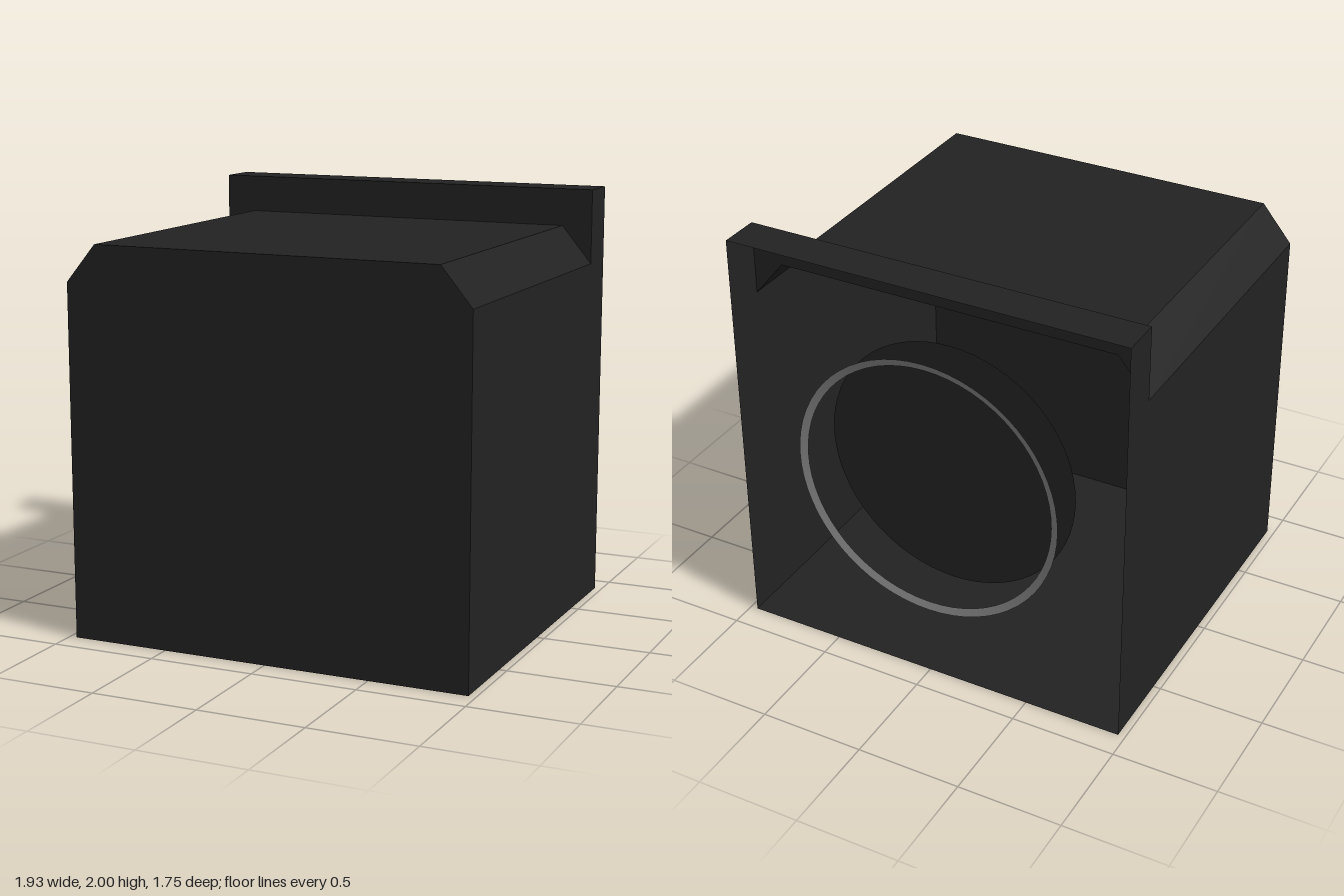
import * as THREE from 'three';

const W = 0.965, BACK = -0.875, STEP = -0.68, FRONT = 0.875;

// Open tube of flat walls: a closed outline (counter-clockwise) carried from z0 to z1.
function walls(outline, z0, z1) {
  const pos = [];
  outline.forEach(([ax, ay], i) => {
    const [bx, by] = outline[(i + 1) % outline.length];
    pos.push(ax, ay, z1, ax, ay, z0, bx, by, z0);
    pos.push(ax, ay, z1, bx, by, z0, bx, by, z1);
  });
  const g = new THREE.BufferGeometry();
  g.setAttribute('position', new THREE.Float32BufferAttribute(pos, 3));
  g.computeVertexNormals();
  return g;
}

// Flat plate facing +z.
function plate(outline, z) {
  const shape = new THREE.Shape(outline.map(([x, y]) => new THREE.Vector2(x, y)));
  return new THREE.ShapeGeometry(shape).translate(0, 0, z);
}

export function createModel() {
  const group = new THREE.Group();
  const black = new THREE.MeshStandardMaterial({ color: 0x222222, side: THREE.DoubleSide });
  black.name = 'charcoal';
  const grey = new THREE.MeshStandardMaterial({ color: 0x808080, side: THREE.DoubleSide });
  grey.name = 'grey';

  const add = (name, geometry, material) => {
    const mesh = new THREE.Mesh(geometry, material);
    mesh.name = name;
    group.add(mesh);
    return mesh;
  };

  const body = [[-W, 0], [W, 0], [W, 1.65], [0.82, 1.825], [-0.82, 1.825], [-W, 1.65]];
  const rim = [[-W, 0], [W, 0], [W, 2], [-W, 2]];
  const step = [[W, 1.65], [W, 2], [-W, 2], [-W, 1.65], [-0.82, 1.825], [0.82, 1.825]];

  // Hollow housing with chamfered top edges, open at the back
  add('bodyWalls', walls(body, STEP, FRONT), black);
  add('frontPanel', plate(body, FRONT), black);

  // Taller square rim around the opening
  add('rimWalls', walls(rim, BACK, STEP), black);
  add('rimStep', plate(step, STEP), black);

  // Round disc set inside the opening, facing back
  const disc = add('disc', new THREE.CircleGeometry(0.62, 64), black);
  disc.rotation.y = Math.PI;
  disc.position.set(0, 1, -0.64);

  // Thin sloped ring, flush with the back opening
  const profile = [new THREE.Vector2(0.615, 0.013), new THREE.Vector2(0.652, 0)];
  const ring = add('ring', new THREE.LatheGeometry(profile, 64), grey);
  ring.geometry.rotateX(Math.PI / 2);
  ring.position.set(0, 1, BACK);

  return group;
}
